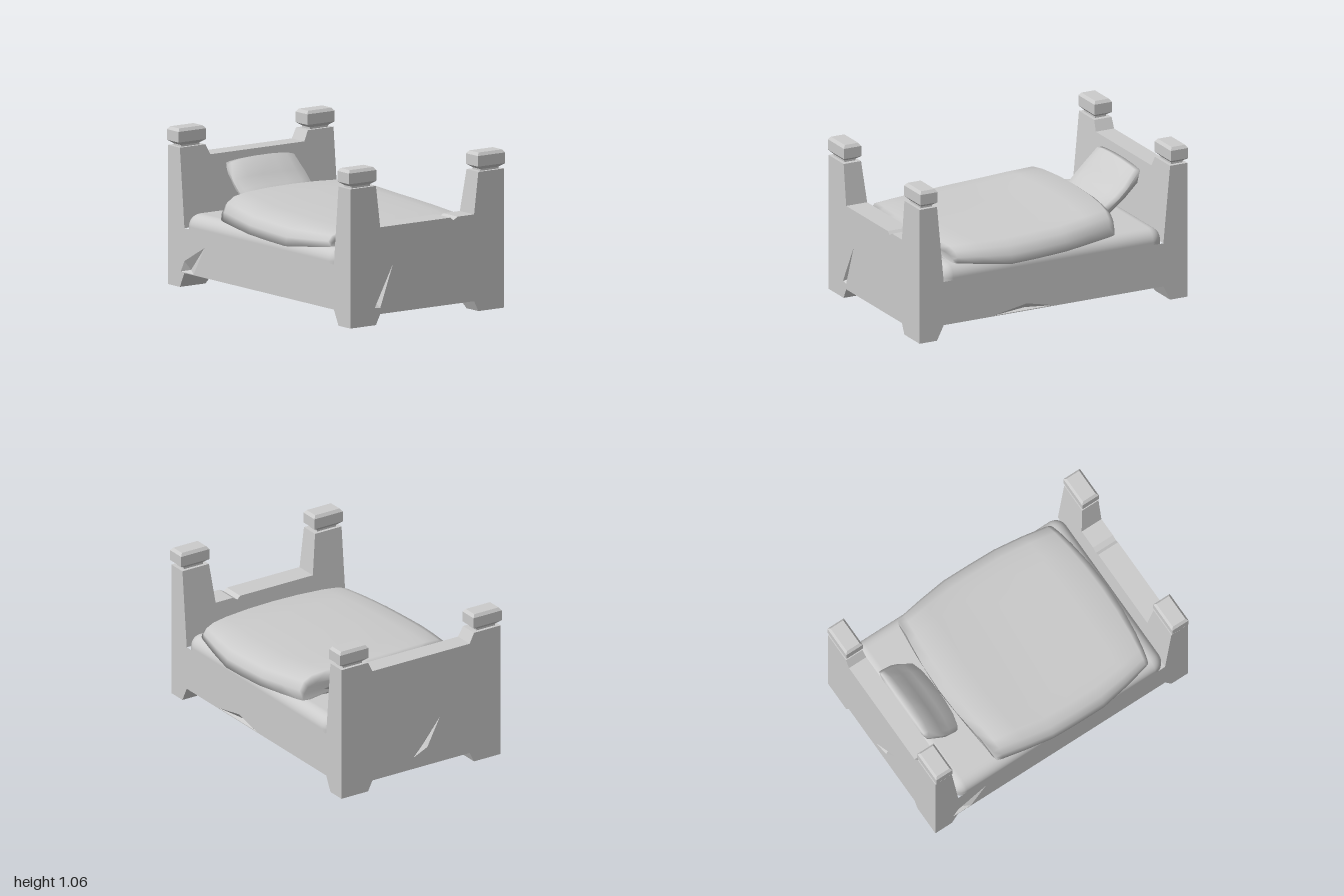
import * as THREE from 'three';
import { RoundedBoxGeometry } from 'three/addons/geometries/RoundedBoxGeometry.js';

const smooth = new THREE.MeshStandardMaterial({ color: 0xcccccc });
const flat = new THREE.MeshStandardMaterial({ color: 0xcccccc, flatShading: true });

function add(parent, name, geometry, material = flat) {
  const mesh = new THREE.Mesh(geometry, material);
  mesh.name = name;
  parent.add(mesh);
  return mesh;
}

// Closed skin over a list of rings ([x, y, z] points), capped at both ends
function loft(rings) {
  const n = rings[0].length, pos = rings.flat(), tris = [];
  for (let r = 0; r < rings.length - 1; r++) {
    for (let i = 0; i < n; i++) {
      const a = r * n + i, b = r * n + (i + 1) % n;
      tris.push([a, b, b + n], [a, b + n, a + n]);
    }
  }
  const cap = (ring, start, flip) => {
    const c = [0, 1, 2].map(k => ring.reduce((s, p) => s + p[k], 0) / n);
    const ci = pos.push(c) - 1;
    for (let i = 0; i < n; i++) {
      const a = start + i, b = start + (i + 1) % n;
      tris.push(flip ? [ci, b, a] : [ci, a, b]);
    }
  };
  cap(rings[0], 0, true);
  cap(rings[rings.length - 1], (rings.length - 1) * n, false);
  // Turn the faces outward, whichever way the rings run
  const v = pos.map(p => new THREE.Vector3(...p));
  const volume = tris.reduce((s, [a, b, c]) => s + v[a].dot(v[b].clone().cross(v[c])), 0);
  if (volume < 0) tris.forEach(t => t.reverse());
  const g = new THREE.BufferGeometry().setFromPoints(v);
  g.setIndex(tris.flat());
  g.computeVertexNormals();
  return g;
}

const toShape = pts => new THREE.Shape(pts.map(p => new THREE.Vector2(...p)));

// Flat board with a splintered chip: a hole filled by facets running to a deep point
function chippedPanel(parent, name, halfWidth, chip, deep, distance, turn) {
  const panel = new THREE.Group();
  panel.name = name;
  const board = toShape([[-halfWidth, 0.1], [halfWidth, 0.1], [halfWidth, 0.4], [-halfWidth, 0.4]]);
  board.holes.push(new THREE.Path(chip.map(p => new THREE.Vector2(...p))));
  add(panel, 'board', new THREE.ShapeGeometry(board));
  const facets = chip.flatMap((p, i) => [[...p, 0], [...chip[(i + 1) % chip.length], 0], deep]);
  const g = new THREE.BufferGeometry().setFromPoints(facets.map(p => new THREE.Vector3(...p)));
  g.computeVertexNormals();
  add(panel, 'chip', g);
  panel.rotation.y = turn;
  panel.position.set(Math.sin(turn) * distance, 0, Math.cos(turn) * distance);
  parent.add(panel);
}

// End board: outline across the bed, thickness changing with height
function endBoard(parent, name, outline, side) {
  const g = new THREE.ExtrudeGeometry(toShape(outline), { depth: 1, bevelEnabled: false });
  const p = g.attributes.position;
  for (let i = 0; i < p.count; i++) {
    const y = p.getY(i);
    const thick = y > 0.39 ? 0.18 - 0.05 * (y - 0.4) / 0.53 : 0.13 + 0.5 * y;
    p.setZ(i, 1 - (1 - p.getZ(i)) * thick);
  }
  g.rotateY(side * Math.PI / 2);
  g.computeVertexNormals();
  add(parent, name, g);
}

export function createModel() {
  const bed = new THREE.Group();
  bed.name = 'bed';

  // Base with chipped boards on all four sides
  const base = new THREE.Group();
  base.name = 'base';
  bed.add(base);
  chippedPanel(base, 'frontRail', 1, [[-0.6, 0.3], [-0.82, 0.18], [-0.86, 0.105], [-0.72, 0.105]],
    [-0.8, 0.12, -0.04], 0.63, 0);
  chippedPanel(base, 'backRail', 1, [[-0.45, 0.105], [0, 0.105], [-0.2, 0.15]],
    [-0.2, 0.115, -0.03], 0.63, Math.PI);
  chippedPanel(base, 'footPanel', 0.63, [[-0.28, 0.395], [-0.43, 0.115], [-0.385, 0.11]],
    [-0.39, 0.14, -0.04], 1, Math.PI / 2);
  chippedPanel(base, 'headPanel', 0.63, [[0.15, 0.395], [-0.06, 0.15], [0.05, 0.2]],
    [0.04, 0.22, -0.03], 1, -Math.PI / 2);
  add(base, 'underside', new THREE.PlaneGeometry(2, 1.26).rotateX(Math.PI / 2)).position.y = 0.1;

  // Headboard, footboard and their legs
  const legs = [[-0.63, 0], [-0.42, 0], [-0.385, 0.07], [0.385, 0.07], [0.42, 0], [0.63, 0],
    [0.63, 0.1], [-0.63, 0.1]];
  const upper = (h, notch) => [[-0.63, 0.4], [0.63, 0.4], [0.63, 0.93], [0.42, 0.93], [0.385, h],
    ...notch, [-0.385, h], [-0.42, 0.93], [-0.63, 0.93]];
  endBoard(bed, 'headboard', upper(0.86, []), -1);
  endBoard(bed, 'footboard', upper(0.65, [[0.25, 0.65], [0.215, 0.63], [0.19, 0.65]]), 1);
  endBoard(bed, 'headLegs', legs, -1);
  endBoard(bed, 'footLegs', legs, 1);

  // Post caps: rings of [height, half size along x, half size along z]
  const capRings = [[0.92, 0.042, 0.075], [0.942, 0.042, 0.075], [0.965, 0.065, 0.112],
    [1.036, 0.065, 0.112], [1.056, 0.05, 0.096]];
  const capGeometry = loft(capRings.map(([y, a, b]) => [[a, y, b], [a, y, -b], [-a, y, -b], [-a, y, b]]));
  for (const x of [-1, 1]) {
    for (const z of [-1, 1]) add(bed, 'postCap', capGeometry).position.set(x * 0.935, 0, z * 0.528);
  }

  // Mattress
  add(bed, 'mattress', new RoundedBoxGeometry(1.66, 0.2, 1.255, 4, 0.085), smooth).position.y = 0.4;

  // Blanket: stations of [x, bow of the end, half width, top height, edge height, underside height]
  const stations = [
    [-0.48, -0.07, 0.585, 0.63, 0.5, 0.6], [-0.44, -0.05, 0.595, 0.675, 0.495, 0.48],
    [-0.28, -0.02, 0.625, 0.66, 0.485, 0.47], [-0.08, 0, 0.655, 0.638, 0.472, 0.46],
    [0.12, 0, 0.657, 0.63, 0.46, 0.45], [0.32, 0, 0.655, 0.62, 0.452, 0.45],
    [0.52, 0.02, 0.625, 0.612, 0.475, 0.47], [0.69, 0.05, 0.59, 0.602, 0.495, 0.48],
    [0.72, 0.07, 0.58, 0.565, 0.5, 0.545]];
  const rise = [[1, 0], [0.985, 0.35], [0.94, 0.68], [0.84, 0.87], [0.65, 0.95], [0.33, 0.99], [0, 1]];
  const across = [...rise.map(([v, f]) => [-v, f]), ...rise.slice(0, -1).reverse()];
  add(bed, 'blanket', loft(stations.map(([x, bow, half, top, edge, under]) => [
    ...across.map(([v, f]) => [x + bow * (1 - v * v), edge + (top - edge) * f, v * half]),
    ...[0.92, 0.5, 0, -0.5, -0.92].map(v =>
      [x + bow * (1 - v * v), Math.abs(v) > 0.9 ? edge : under, v * half]),
  ])), smooth);

  // Pillow: leaning profile, pinched toward its two side seams
  const profile = [[-0.855, 0.76], [-0.84, 0.815], [-0.79, 0.828], [-0.7, 0.72], [-0.63, 0.66],
    [-0.55, 0.6], [-0.55, 0.57], [-0.6, 0.51], [-0.63, 0.51], [-0.74, 0.6], [-0.85, 0.69]];
  const slices = [[-1, 0.15, 0.93], [-0.92, 0.55, 0.95], [-0.65, 0.88, 0.98], [-0.27, 1, 1],
    [0.27, 1, 1], [0.65, 0.88, 0.98], [0.92, 0.55, 0.95], [1, 0.15, 0.93]];
  add(bed, 'pillow', loft(slices.map(([v, thick, length]) => profile.map(([x, y]) => {
    const d = (x + y + 0.05) / 2 * (1 - thick);
    const along = x - y + 1.375, u = along / 0.29;
    const s = along / 2 * (1 - length);
    return [x - d - s, y - d + s, v * (0.27 + 0.03 * (1 - u * u))];
  }))), smooth);

  return bed;
}
